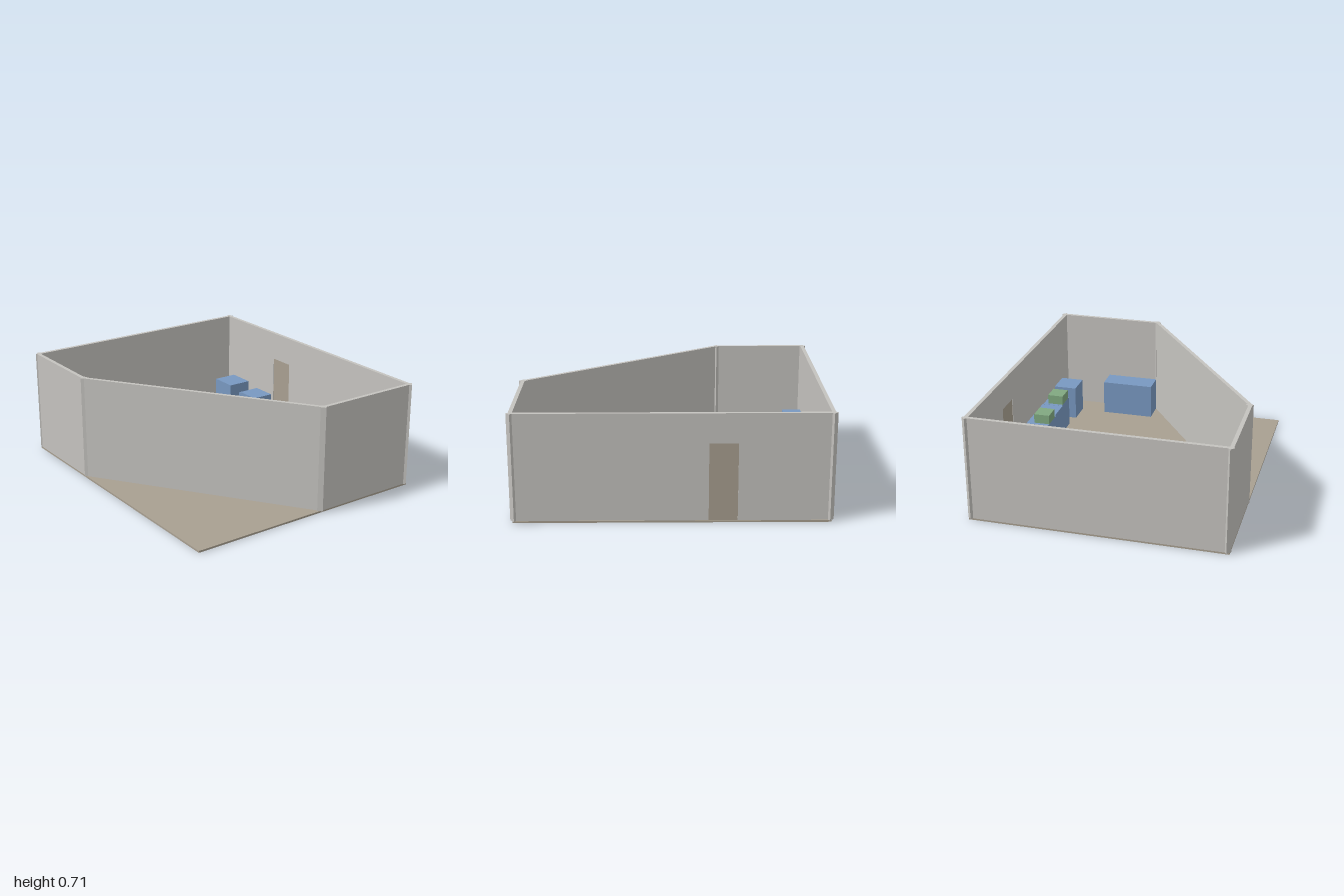
import * as THREE from 'three';

export function createModel() {
  const room = new THREE.Group();
  room.name = 'room';

  const material = (name, color) => {
    const m = new THREE.MeshStandardMaterial({ color });
    m.name = name;
    return m;
  };
  const wallPaint = material('wall grey', 0xc4c2be);
  const floorTan = material('floor tan', 0xa89f90);
  const furnitureBlue = material('furniture blue', 0x7898c0);
  const objectGreen = material('object green', 0x80a880);

  const FLOOR = 0.012, TOP = 0.705, THICK = 0.025;
  const X = 0.818, Z = 0.976; // wall centre lines

  // Box given by its two extreme corners
  function box(name, mat, x0, x1, y0, y1, z0, z1) {
    const mesh = new THREE.Mesh(new THREE.BoxGeometry(x1 - x0, y1 - y0, z1 - z0), mat);
    mesh.position.set((x0 + x1) / 2, (y0 + y1) / 2, (z0 + z1) / 2);
    mesh.name = name;
    room.add(mesh);
  }

  // Wall between two plan points, with an optional doorway [start, end, height]
  function wall(name, [x0, z0], [x1, z1], door) {
    const length = Math.hypot(x1 - x0, z1 - z0), h = TOP - FLOOR;
    const outline = [[0, 0]];
    if (door) outline.push([door[0], 0], [door[0], door[2]], [door[1], door[2]], [door[1], 0]);
    outline.push([length, 0], [length, h], [0, h]);
    const shape = new THREE.Shape(outline.map(([x, y]) => new THREE.Vector2(x, y)));
    const geo = new THREE.ExtrudeGeometry(shape, { depth: THICK, bevelEnabled: false });
    geo.translate(0, 0, -THICK / 2);
    const mesh = new THREE.Mesh(geo, wallPaint);
    mesh.position.set(x0, FLOOR, z0);
    mesh.rotation.y = -Math.atan2(z1 - z0, x1 - x0);
    mesh.name = name;
    room.add(mesh);
  }

  // Floor slab
  box('floor', floorTan, -0.835, 0.835, 0, FLOOR, -0.987, 0.987);

  // Walls around the five-sided plan
  const plan = [[X, -Z], [X, Z], [0.1, Z], [-X - 0.005, -0.345], [-X - 0.005, -Z]];
  const names = ['rightSideWall', 'frontWall', 'diagonalWall', 'leftSideWall', 'backWall'];
  plan.forEach((p, i) => {
    const doorway = i === 0 ? [Z - 0.405, Z - 0.225, 0.5] : null;
    wall(names[i], p, plan[(i + 1) % plan.length], doorway);
  });

  // Diamond posts at the wall joints
  for (const [x, z] of plan) {
    const geo = new THREE.CylinderGeometry(0.025, 0.025, TOP - FLOOR, 4).toNonIndexed();
    geo.computeVertexNormals();
    const post = new THREE.Mesh(geo, wallPaint);
    post.position.set(Math.max(x, -X), (TOP + FLOOR) / 2, z);
    post.name = 'cornerPost';
    room.add(post);
  }

  // Door set into the side wall
  box('door', floorTan, X - 0.009, X + 0.009, FLOOR, 0.511, -0.405, -0.225);

  // Furniture: name, x range, z range, top height
  const furniture = [
    ['backCabinet', -0.70, -0.435, -0.965, -0.83, 0.25],
    ['frontCabinet', 0.105, 0.47, 0.80, 0.957, 0.255],
    ['backSideCabinet', 0.635, 0.806, -0.90, -0.71, 0.25],
    ['backSideBin', 0.71, 0.80, -0.705, -0.61, 0.18],
    ['backSideCounter', 0.65, 0.806, -0.605, -0.43, 0.225],
    ['sideCounter', 0.645, 0.806, 0.015, 0.19, 0.225],
    ['sideCounter', 0.655, 0.806, 0.195, 0.36, 0.225],
    ['sideCounter', 0.66, 0.80, 0.362, 0.53, 0.225],
    ['sideBin', 0.71, 0.80, 0.532, 0.63, 0.18],
    ['sideCabinet', 0.645, 0.806, 0.64, 0.815, 0.25],
    ['lowStool', -0.568, -0.465, -0.65, -0.545, 0.10],
    ['lowStool', -0.563, -0.472, -0.517, -0.425, 0.07],
    ['lowStool', -0.568, -0.465, -0.395, -0.30, 0.065],
    ['chair', -0.245, -0.12, -0.705, -0.585, 0.205],
    ['chair', -0.255, -0.11, -0.55, -0.415, 0.24],
    ['chair', -0.245, -0.12, -0.39, -0.255, 0.235],
    ['table', -0.045, 0.295, -0.675, -0.39, 0.205],
  ];
  for (const [name, x0, x1, z0, z1, top] of furniture)
    box(name, furnitureBlue, x0, x1, FLOOR, top, z0, z1);

  // Small objects resting on the furniture
  box('tableObject', objectGreen, 0.015, 0.085, 0.205, 0.262, -0.465, -0.40);
  box('counterObject', objectGreen, 0.645, 0.755, 0.225, 0.29, 0.04, 0.16);
  box('counterObject', objectGreen, 0.66, 0.77, 0.225, 0.29, 0.385, 0.507);

  return room;
}
